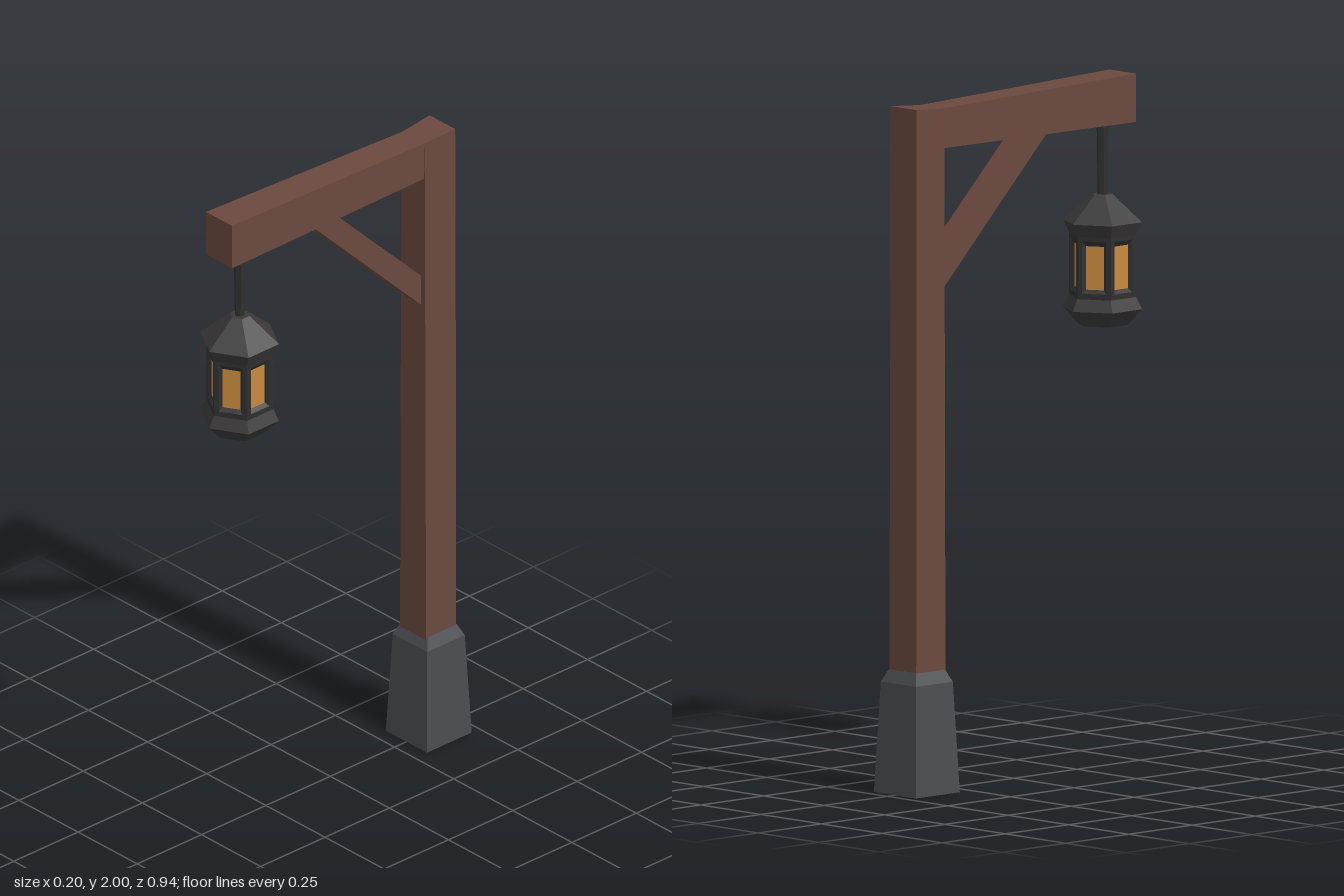
import * as THREE from 'three';

const mat = (color) => new THREE.MeshStandardMaterial({ color, flatShading: true });

// Skin a closed solid (or open band) over rings of four corner points
function loft(rings, startCap = true, endCap = true) {
  const pos = [];
  const quad = (a, b, c, d) => pos.push(...a, ...b, ...c, ...a, ...c, ...d);
  for (let i = 0; i < rings.length - 1; i++) {
    const p = rings[i], q = rings[i + 1];
    for (let k = 0; k < 4; k++) {
      const n = (k + 1) % 4;
      quad(p[k], p[n], q[n], q[k]);
    }
  }
  const s = rings[0], e = rings[rings.length - 1];
  if (startCap) quad(s[3], s[2], s[1], s[0]);
  if (endCap) quad(e[0], e[1], e[2], e[3]);
  const g = new THREE.BufferGeometry();
  g.setAttribute('position', new THREE.Float32BufferAttribute(pos, 3));
  g.computeVertexNormals();
  return g;
}

// Horizontal rectangle: front and back edges may differ in width and height
const level = (z0, z1, wFront, wBack, yFront, yBack = yFront) => [
  [-wFront, yFront, z1], [wFront, yFront, z1], [wBack, yBack, z0], [-wBack, yBack, z0],
];
// Upright rectangle facing +z
const upright = (w, y0, y1, z) => [[-w, y0, z], [w, y0, z], [w, y1, z], [-w, y1, z]];

export function createModel() {
  const model = new THREE.Group();
  model.name = 'lanternPost';
  const wood = mat(0x6a483e), stone = mat(0x4b4c50);
  const iron = mat(0x2f2f30), roofIron = mat(0x3a3838), glass = mat(0xc88a3e);

  const add = (parent, name, geometry, material) => {
    const mesh = new THREE.Mesh(geometry, material);
    mesh.name = name;
    parent.add(mesh);
    return mesh;
  };

  // Tapered footing with a chamfered shoulder
  const foot = (h, y) => level(-0.383 - h, -0.383 + h, h, h, y);
  add(model, 'footing', loft([foot(0.087, 0), foot(0.073, 0.32), foot(0.057, 0.355)]), stone);

  // Post with a slightly sloping head
  add(model, 'post', loft([
    level(-0.438, -0.322, 0.055, 0.055, 0.3),
    level(-0.437, -0.322, 0.05, 0.055, 1.86),
    level(-0.436, -0.322, 0.047, 0.054, 1.977, 1.985),
  ]), wood);

  // Beam widening and rising toward its free end
  add(model, 'beam', loft([
    upright(0.047, 1.862, 1.977, -0.33),
    upright(0.055, 1.86, 2.0, 0.432),
  ]), wood);

  // Diagonal brace
  const brace = (x) => [[x, 1.865, 0.105], [x, 1.434, -0.33], [x, 1.53, -0.33], [x, 1.865, 0.01]];
  add(model, 'brace', loft([brace(-0.033), brace(0.033)]), wood);

  // Hanging six-sided lantern
  const lantern = new THREE.Group();
  lantern.name = 'lantern';
  lantern.position.z = 0.352;
  model.add(lantern);

  const rod = add(lantern, 'hangingRod', new THREE.CylinderGeometry(0.018, 0.014, 0.24, 6), iron);
  rod.position.y = 1.755;

  const hexTurn = (points) =>
    new THREE.LatheGeometry(points.map(([r, y]) => new THREE.Vector2(r, y)), 6);
  add(lantern, 'roof', hexTurn([[0, 1.54], [0.1, 1.54], [0.118, 1.577], [0.03, 1.655], [0, 1.655]]), roofIron);
  add(lantern, 'tray', hexTurn([[0, 1.278], [0.075, 1.278], [0.118, 1.325], [0.1, 1.36], [0, 1.36]]), roofIron);

  // Six wall panels, each with a bevelled opening and a glass pane
  const R = 0.1, apothem = R * Math.cos(Math.PI / 6);
  const frame = loft([
    upright(R / 2, 1.36, 1.54, apothem),
    upright(0.036, 1.376, 1.528, apothem),
    upright(0.027, 1.387, 1.513, apothem - 0.01),
  ], false, false);
  const pane = new THREE.PlaneGeometry(0.054, 0.126);
  pane.translate(0, 1.45, apothem - 0.01);
  for (let i = 0; i < 6; i++) {
    const side = new THREE.Group();
    side.name = 'lanternSide';
    side.rotation.y = (i + 0.5) * Math.PI / 3;
    add(side, 'windowFrame', frame, iron);
    add(side, 'windowPane', pane, glass);
    lantern.add(side);
  }
  return model;
}
